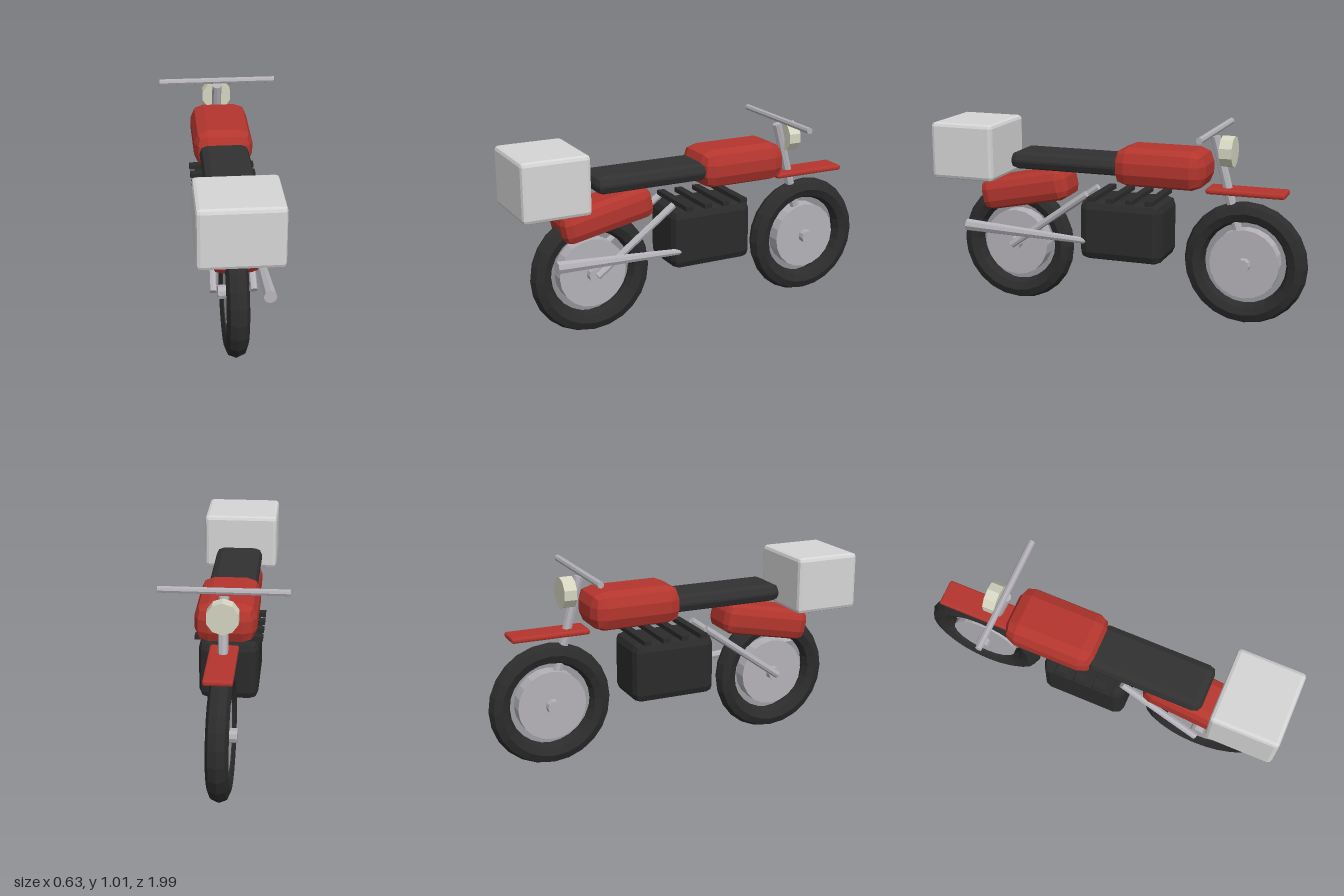
import * as THREE from 'three';
import { RoundedBoxGeometry } from 'three/addons/geometries/RoundedBoxGeometry.js';

const paint = (name, color) => {
  const m = new THREE.MeshStandardMaterial({ color, flatShading: true });
  m.name = name;
  return m;
};

export function createModel() {
  const red = paint('red paint', 0xb4362e);
  const rubber = paint('rubber', 0x2c2c2c);
  const black = paint('engine black', 0x2b2b2b);
  const leather = paint('seat leather', 0x313131);
  const metal = paint('metal', 0xb4b2b8);
  const caseGrey = paint('case grey', 0xd6d6d6);
  const lens = paint('lamp cream', 0xd6d6c2);

  const model = new THREE.Group();
  model.name = 'motorcycle';

  const add = (name, geometry, material, position = [0, 0, 0], parent = model) => {
    const mesh = new THREE.Mesh(geometry, material);
    mesh.name = name;
    mesh.position.set(...position);
    parent.add(mesh);
    return mesh;
  };

  // Softly chamfered block
  const block = (name, size, radius, material, position) =>
    add(name, new RoundedBoxGeometry(...size, 1, radius), material, position);

  // Round bar from a to b, with a radius at each end
  const bar = (name, a, b, ra, rb, material, sides = 8) => {
    const from = new THREE.Vector3(...a);
    const dir = new THREE.Vector3(...b).sub(from);
    const geometry = new THREE.CylinderGeometry(rb, ra, dir.length(), sides);
    const mesh = add(name, geometry, material);
    mesh.position.copy(from).addScaledVector(dir, 0.5);
    mesh.quaternion.setFromUnitVectors(new THREE.Vector3(0, 1, 0), dir.normalize());
    return mesh;
  };

  // Wheels: tyre, brake disc and hub
  const tyreGeometry = new THREE.TorusGeometry(0.267, 0.055, 8, 24).rotateY(Math.PI / 2);
  const discGeometry = new THREE.CylinderGeometry(0.18, 0.18, 0.076, 20).rotateZ(Math.PI / 2);
  const hubGeometry = new THREE.CylinderGeometry(0.036, 0.036, 0.155, 10).rotateZ(Math.PI / 2);
  for (const [name, z] of [['cargoEndWheel', 0.59], ['steeringWheel', -0.673]]) {
    const wheel = new THREE.Group();
    wheel.name = name;
    wheel.position.set(0, 0.327, z);
    add('tyre', tyreGeometry, rubber, [0, 0, 0], wheel);
    add('disc', discGeometry, metal, [0, 0, 0], wheel);
    add('hub', hubGeometry, metal, [0, 0, 0], wheel);
    model.add(wheel);
  }

  // Bodywork
  block('fuelTank', [0.304, 0.2, 0.485], 0.07, red, [0, 0.8, -0.235]);
  block('seat', [0.254, 0.092, 0.62], 0.04, leather, [0, 0.796, 0.275]);
  block('tailFender', [0.242, 0.165, 0.5], 0.05, red, [0, 0.633, 0.52]).rotation.x = 0.2;
  block('steeringFender', [0.14, 0.028, 0.405], 0.01, red, [0, 0.699, -0.675]);
  block('cargoBox', [0.404, 0.3, 0.352], 0.02, caseGrey, [0, 0.838, 0.823]);

  // Engine with cooling fins
  block('engine', [0.304, 0.32, 0.45], 0.045, black, [0, 0.461, -0.04]);
  for (let i = 0; i < 4; i++) {
    add('coolingFin', new THREE.BoxGeometry(0.344, 0.024, 0.04), black, [0, 0.633, 0.107 - i * 0.104]);
  }

  // Steering: fork, handlebar and headlight
  bar('fork', [0, 0.327, -0.673], [0, 0.972, -0.503], 0.025, 0.025, metal);
  bar('handlebar', [-0.313, 1, -0.505], [0.313, 1, -0.505], 0.017, 0.017, metal);
  bar('headlight', [0, 0.898, -0.54], [0, 0.898, -0.605], 0.08, 0.08, lens, 10);

  // Shock absorbers on both sides
  for (const side of [-1, 1]) {
    bar('shockAbsorber', [side * 0.1, 0.33, 0.59], [side * 0.088, 0.64, 0.16], 0.019, 0.019, metal);
  }

  // Flared exhaust on the model's left
  bar('exhaust', [0.13, 0.393, 0], [0.152, 0.434, 0.825], 0.013, 0.033, metal);

  return model;
}
